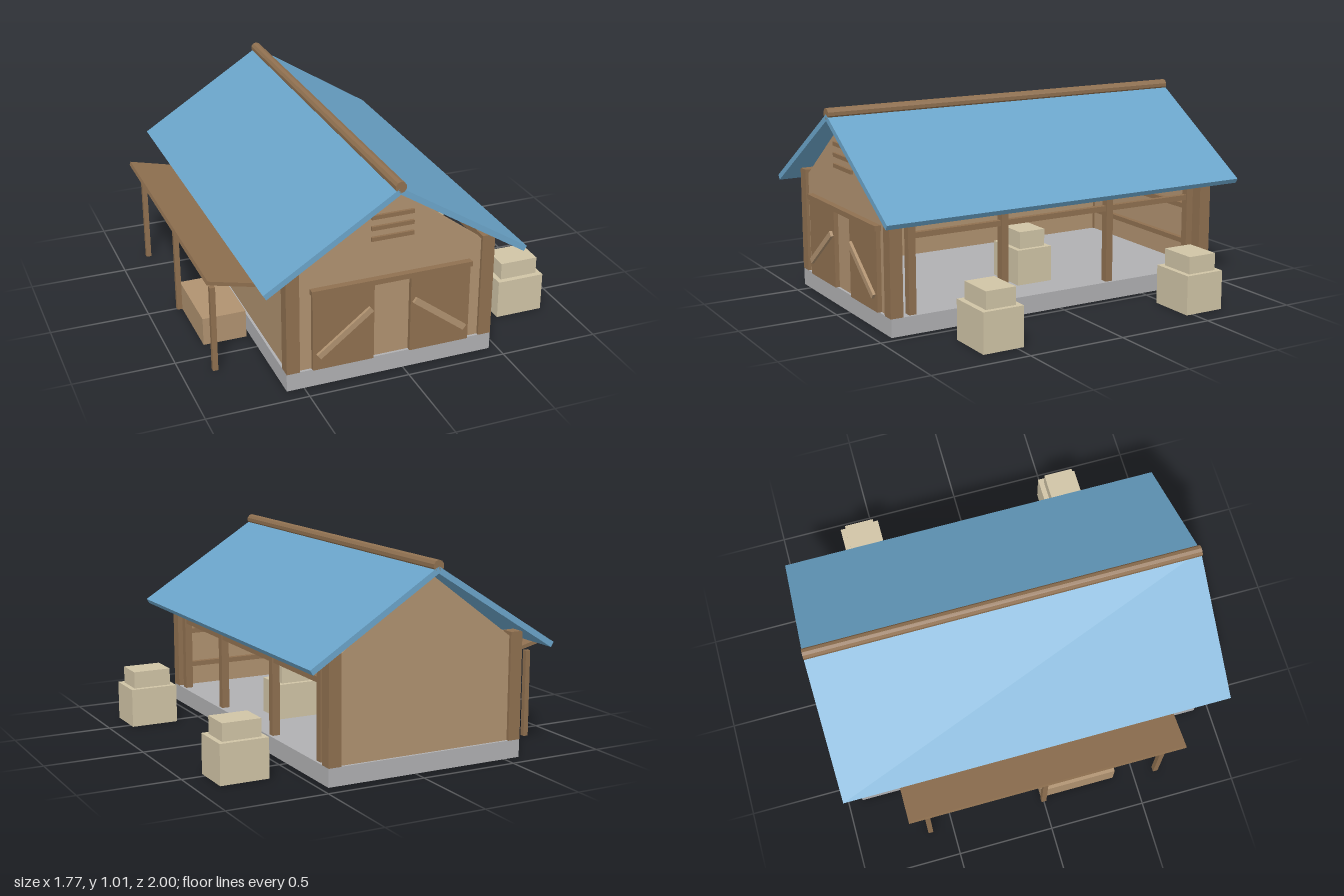
import * as THREE from 'three';

const mat = (color) => new THREE.MeshStandardMaterial({ color, flatShading: true });

export function createModel() {
  const root = new THREE.Group();
  const tan = mat(0xb09270), brown = mat(0x8f7050), blue = mat(0x6ba5ca);
  const stone = mat(0xb0b0b2), crateMat = mat(0xd0c4a6);

  // Box given by its extents along each axis
  function box(name, m, x0, x1, y0, y1, z0, z1, parent = root) {
    const mesh = new THREE.Mesh(new THREE.BoxGeometry(x1 - x0, y1 - y0, z1 - z0), m);
    mesh.position.set((x0 + x1) / 2, (y0 + y1) / 2, (z0 + z1) / 2);
    mesh.name = name;
    parent.add(mesh);
    return mesh;
  }
  // Polygon in the xy plane pulled along z
  function prism(name, m, pts, z0, z1, parent = root) {
    const shape = new THREE.Shape(pts.map(([x, y]) => new THREE.Vector2(x, y)));
    const geo = new THREE.ExtrudeGeometry(shape, { depth: z1 - z0, bevelEnabled: false });
    const mesh = new THREE.Mesh(geo, m);
    mesh.position.z = z0;
    mesh.name = name;
    parent.add(mesh);
    return mesh;
  }

  // Barn, modelled symmetrically about its own ridge
  const barn = new THREE.Group();
  barn.name = 'barn';
  barn.position.x = -0.0625;
  root.add(barn);

  box('foundation', stone, -0.5225, 0.5225, 0, 0.09, -0.925, 0.925, barn);

  for (const s of [-1, 1]) {
    // Corner posts
    for (const t of [-1, 1]) {
      const x = s * 0.49, z = t * 0.895;
      box('cornerPost', brown, x - 0.0325, x + 0.0325, 0.09, 0.625, z - 0.0325, z + 0.0325, barn);
    }
    // End wall with gable above, and rails on its inner face
    const z0 = s * 0.89 - 0.022, z1 = s * 0.89 + 0.022;
    box('endWall', tan, -0.458, 0.458, 0.09, 0.605, z0, z1, barn);
    prism('gable', tan, [[-0.458, 0.605], [0.458, 0.605], [0, 0.945]], z0, z1, barn);
    for (const y of [0.21, 0.4]) {
      box('innerRail', brown, -0.458, 0.458, y - 0.013, y + 0.013, s * 0.854 - 0.014, s * 0.854 + 0.014, barn);
    }
    // Roof slope
    prism('roofSlope', blue, [[0, 0.983], [s * 0.653, 0.572], [s * 0.638, 0.548], [0, 0.95]], -1, 1, barn);
    // Door leaf with diagonal brace
    const d = s * 0.244;
    box('door', brown, d - 0.152, d + 0.152, 0.09, 0.487, 0.91, 0.935, barn);
    const brace = box('doorBrace', tan, -0.165, 0.165, -0.0145, 0.0145, -0.0075, 0.0075, barn);
    brace.position.set(s * 0.24, 0.264, 0.9425);
    brace.rotation.z = -s * 0.655;
  }

  box('doorTrack', brown, -0.402, 0.402, 0.485, 0.511, 0.91, 0.945, barn);
  for (const y of [0.709, 0.763, 0.818]) {
    box('ventSlat', brown, -0.105, 0.105, y - 0.01, y + 0.01, 0.91, 0.925, barn);
  }

  // Closed left-hand side
  box('longWall', tan, -0.51, -0.47, 0.09, 0.605, -0.865, 0.865, barn);

  // Open side: posts, rail and eave beam
  for (const z of [-0.805, -0.302, 0.307, 0.807]) {
    box('sidePost', brown, 0.47, 0.51, 0.09, 0.6, z - 0.019, z + 0.019, barn);
  }
  box('sideRail', brown, 0.477, 0.503, 0.455, 0.482, -0.805, 0.807, barn);
  box('eaveBeam', brown, 0.468, 0.512, 0.575, 0.615, -0.865, 0.865, barn);

  // Ridge pole
  const ridge = new THREE.Mesh(new THREE.CylinderGeometry(0.028, 0.028, 2, 10), brown);
  ridge.rotation.x = Math.PI / 2;
  ridge.position.y = 0.985;
  ridge.name = 'ridgePole';
  barn.add(ridge);

  // Lean-to on the closed side
  prism('leanToRoof', brown,
    [[-0.882, 0.532], [-0.58, 0.459], [-0.585, 0.441], [-0.888, 0.514]], -0.715, 0.715);
  for (const z of [-0.62, 0, 0.62]) {
    box('leanToPost', brown, -0.851, -0.825, 0, 0.447, z - 0.013, z + 0.013);
  }
  box('trough', tan, -0.825, -0.605, 0, 0.145, -0.01, 0.39);

  // Stacked crates: two outside, one on the barn floor
  function crates(x, y, z, w, d, h) {
    const g = new THREE.Group();
    g.name = 'crateStack';
    g.position.set(x, y, z);
    box('lowerCrate', crateMat, -w / 2, w / 2, 0, h, -d / 2, d / 2, g);
    box('upperCrate', crateMat, -w * 0.4, w * 0.4, h, h + 0.087, -d * 0.37, d * 0.37, g);
    root.add(g);
  }
  crates(0.759, 0, 0.57, 0.247, 0.212, 0.198);
  crates(0.759, 0, -0.57, 0.247, 0.212, 0.198);
  crates(0.16, 0.09, 0.038, 0.24, 0.195, 0.18);

  return root;
}
